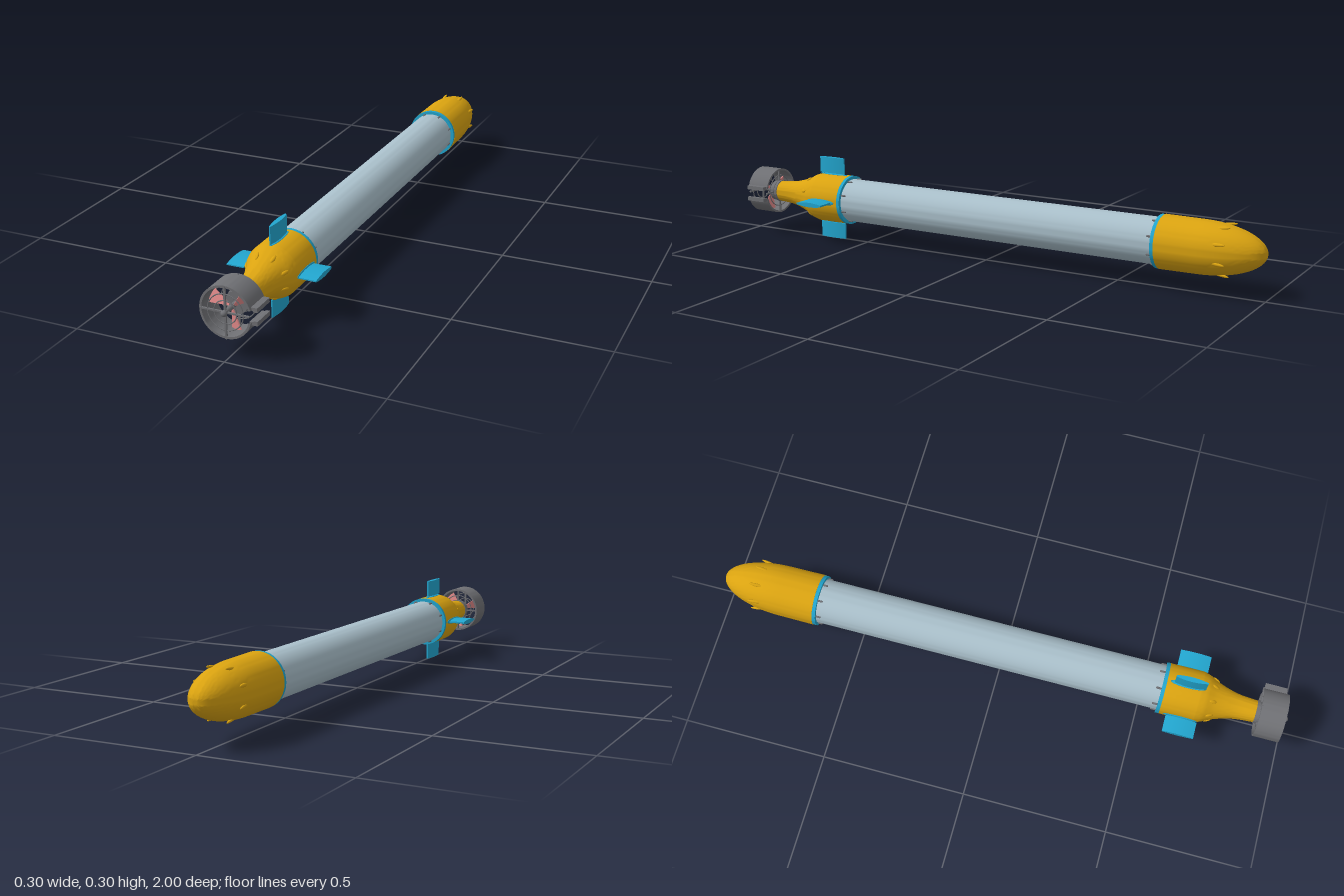
import * as THREE from 'three';
import { toCreasedNormals } from 'three/addons/utils/BufferGeometryUtils.js';

const material = (name, color) => {
  const m = new THREE.MeshStandardMaterial({ color });
  m.name = name;
  return m;
};

export function createModel() {
  const yellow = material('yellow shell', 0xdaa310);
  const hull = material('pale grey hull', 0xa9bfca);
  const blue = material('blue trim', 0x22a6cf);
  const grey = material('dark grey', 0x6f7074);
  const pink = material('pink blades', 0xe08888);

  const root = new THREE.Group();
  root.name = 'underwaterVehicle';
  const craft = new THREE.Group(); // the long axis is z
  craft.name = 'craft';
  craft.position.y = 0.15;
  root.add(craft);

  const add = (parent, name, geometry, mat, x = 0, y = 0, z = 0) => {
    const mesh = new THREE.Mesh(geometry, mat);
    mesh.name = name;
    mesh.position.set(x, y, z);
    parent.add(mesh);
    return mesh;
  };
  // Profile of [radius, z], turned around the z axis
  const turned = (points, start = 0, length = Math.PI * 2) => {
    const g = new THREE.LatheGeometry(points.map(p => new THREE.Vector2(...p)), 64, start, length);
    return toCreasedNormals(g.rotateX(Math.PI / 2), 0.5);
  };
  // Groups repeated around the z axis, each built along +x
  const around = (name, count, offset, build) => {
    for (let i = 0; i < count; i++) {
      const g = new THREE.Group();
      g.name = name;
      g.rotation.z = offset + (i * Math.PI * 2) / count;
      craft.add(g);
      build(g);
    }
  };

  // Hull tube and end rings
  add(craft, 'hullTube', turned([[0, -0.66], [0.077, -0.66], [0.077, 0.58], [0, 0.58]]), hull);
  for (const [name, z] of [['noseRing', -0.656], ['tailRing', 0.562]])
    add(craft, name, turned([[0.07, z], [0.088, z], [0.088, z + 0.012], [0.07, z + 0.012]]), blue);

  // Rounded nose
  const nose = [];
  for (let i = 0; i <= 20; i++) {
    const a = (i / 20) * Math.PI / 2;
    nose.push([0.088 * Math.sin(a), -0.78 - 0.22 * Math.cos(a)]);
  }
  nose.push([0.089, -0.656], [0.07, -0.656]);
  add(craft, 'noseCone', turned(nose), yellow);

  // Tail section with a smooth taper
  const taper = new THREE.SplineCurve([
    [0.088, 0.69], [0.081, 0.715], [0.066, 0.745], [0.052, 0.785], [0.042, 0.83], [0.037, 0.895],
  ].map(p => new THREE.Vector2(...p))).getPoints(20).map(p => [p.x, p.y]);
  add(craft, 'tailCone', turned([[0.07, 0.574], [0.088, 0.574], ...taper, [0, 0.895]]), yellow);
  add(craft, 'tailCollar', turned([[0.03, 0.887], [0.04, 0.887], [0.04, 0.897], [0, 0.897]]), grey);

  // Studs by the rings and oval pads on nose and taper
  around('fasteners', 8, Math.PI / 8, g => {
    for (const z of [-0.637, 0.553]) {
      const stud = add(g, 'stud', new THREE.CapsuleGeometry(0.0035, 0.014, 4, 8), grey, 0.078, 0, z);
      stud.rotation.x = Math.PI / 2;
    }
    const pad = add(g, 'nosePad', new THREE.SphereGeometry(1, 16, 10), yellow, 0.081, 0, -0.86);
    pad.scale.set(0.005, 0.006, 0.03);
    pad.rotation.y = -0.16;
    const tailPad = add(g, 'tailPad', new THREE.SphereGeometry(1, 16, 10), yellow, 0.07, 0, 0.738);
    tailPad.scale.set(0.004, 0.006, 0.014);
    tailPad.rotation.y = -0.48;
  });

  // Four fins with a lens-shaped section
  const finShape = new THREE.Shape();
  finShape.moveTo(0.705, -0.002);
  finShape.lineTo(0.705, 0.002);
  finShape.quadraticCurveTo(0.65, 0.014, 0.598, 0.003);
  finShape.lineTo(0.598, -0.003);
  finShape.quadraticCurveTo(0.65, -0.014, 0.705, -0.002);
  const finGeometry = new THREE.ExtrudeGeometry(finShape, { depth: 0.058, bevelEnabled: false, curveSegments: 10 });
  finGeometry.rotateY(-Math.PI / 2).scale(-1, 1, 1);
  // restore the corner order after mirroring
  const pos = finGeometry.attributes.position;
  for (let i = 0; i < pos.count; i += 3) {
    const a = new THREE.Vector3().fromBufferAttribute(pos, i + 1);
    const b = new THREE.Vector3().fromBufferAttribute(pos, i + 2);
    pos.setXYZ(i + 1, b.x, b.y, b.z);
    pos.setXYZ(i + 2, a.x, a.y, a.z);
  }
  const finSmooth = toCreasedNormals(finGeometry, 0.5);
  around('fin', 4, 0, g => {
    add(g, 'finBlade', finSmooth, blue, 0.092);
    const shaft = add(g, 'finShaft', new THREE.CylinderGeometry(0.006, 0.006, 0.03, 16), blue, 0.085, 0, 0.65);
    shaft.rotation.z = Math.PI / 2;
    const slot = add(g, 'finMount', new THREE.SphereGeometry(1, 16, 10), blue, 0.088, 0, 0.645);
    slot.scale.set(0.003, 0.011, 0.06);
  });

  // Propeller duct, open on the model's left, with lugs at the gap
  const gap = 0.24;
  add(craft, 'propellerDuct', turned(
    [[0.076, 0.897], [0.083, 0.897], [0.083, 0.984], [0.076, 0.984], [0.076, 0.897]],
    Math.PI / 2 + gap, Math.PI * 2 - gap * 2), grey);
  for (const s of [1, -1]) {
    const lug = new THREE.Shape();
    [[0.072, 0.028], [0.098, 0.028], [0.098, 0.014], [0.088, 0.014], [0.08, 0.018], [0.072, 0.018]]
      .forEach(([x, y], i) => (i ? lug.lineTo(x, y * s) : lug.moveTo(x, y * s)));
    add(craft, 'ductLug', new THREE.ExtrudeGeometry(lug, { depth: 0.075, bevelEnabled: false }), grey, 0, 0, 0.9);
  }

  // Guards before and behind the propeller: cross bars and rings
  for (const z of [0.903, 0.982]) {
    add(craft, 'guardBarUpright', new THREE.BoxGeometry(0.006, 0.168, 0.006), grey, 0, 0, z);
    add(craft, 'guardBarLevel', new THREE.BoxGeometry(0.158, 0.005, 0.006), grey, -0.003, 0, z);
    for (const r of [0.036, 0.057])
      add(craft, 'guardRing', new THREE.TorusGeometry(r, 0.0018, 8, 48), grey, 0, 0, z);
  }
  add(craft, 'guardBoss', new THREE.SphereGeometry(0.01, 20, 14), grey, 0, 0, 0.99);

  // Propeller
  const shaft = add(craft, 'propellerShaft', new THREE.CylinderGeometry(0.008, 0.008, 0.095, 20), grey, 0, 0, 0.94);
  shaft.rotation.x = Math.PI / 2;
  add(craft, 'propellerHub', turned([[0, 0.897], [0.036, 0.897], [0.036, 0.918], [0, 0.918]]), grey);
  const bladeShape = new THREE.Shape();
  bladeShape.absarc(0, 0, 0.072, -0.31, 0.31, false);
  bladeShape.absarc(0, 0, 0.01, 0.31, -0.31, true);
  const blade = new THREE.ExtrudeGeometry(bladeShape, { depth: 0.004, bevelEnabled: false, curveSegments: 10 });
  around('propellerBlade', 3, 0.72, g => {
    add(g, 'blade', blade, pink, 0, 0, 0.94).rotation.x = 0.45;
  });

  return root;
}
